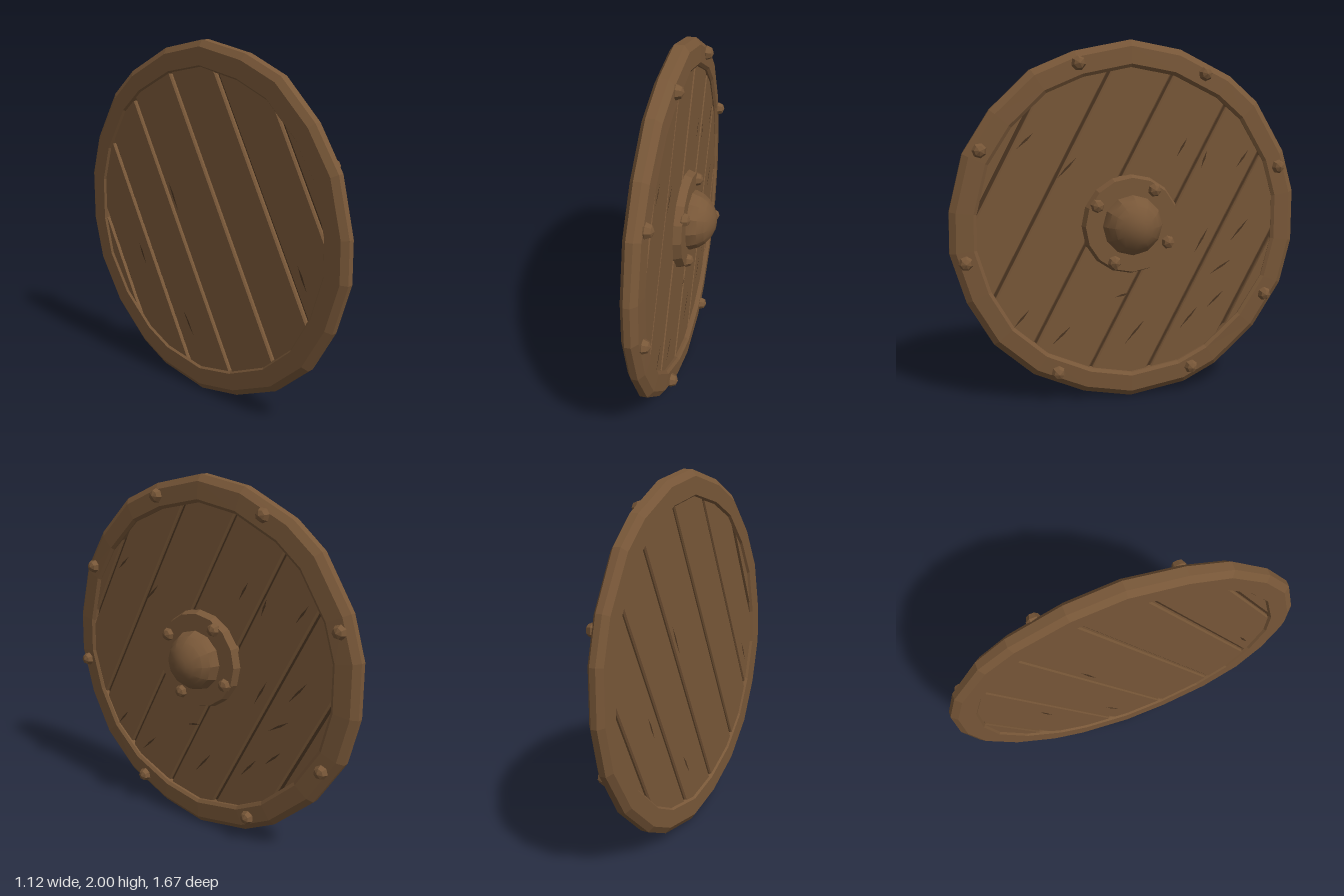
import * as THREE from 'three';
import { toCreasedNormals } from 'three/addons/utils/BufferGeometryUtils.js';

export function createModel() {
  const model = new THREE.Group();
  model.name = 'roundShield';

  const wood = new THREE.MeshStandardMaterial({ color: 0x785738 });
  wood.name = 'brownWood';
  const groove = new THREE.MeshStandardMaterial({ color: 0x4a3421 });
  groove.name = 'darkGroove';

  let seed = 7;
  const rand = () => (seed = (seed * 16807) % 2147483647) / 2147483647;

  // Shield is built facing local +z, then turned as a whole
  const shield = new THREE.Group();
  shield.name = 'shield';
  shield.position.y = 1;
  shield.rotation.y = Math.atan2(0.84, -0.54);
  model.add(shield);

  const flat = (g) => {
    const f = g.index ? g.toNonIndexed() : g;
    f.computeVertexNormals();
    return f;
  };
  const add = (name, geometry, material, x = 0, y = 0, z = 0) => {
    const mesh = new THREE.Mesh(geometry, material);
    mesh.name = name;
    mesh.position.set(x, y, z);
    shield.add(mesh);
    return mesh;
  };
  // The front of the rim swells slightly toward the vertical centre line
  const swell = (x) => 0.02 * (1 - x * x);

  // Rim: chamfered ring with hand-hewn irregular corners
  const SIDES = 22;
  const profile = [
    [0.855, -0.028], [0.868, -0.044], [0.965, -0.044], [1, -0.02], [1, 0.012],
    [0.965, 0.04], [0.872, 0.046], [0.855, 0.034], [0.855, -0.028],
  ].map(([r, h]) => new THREE.Vector2(r, h));
  const rim = new THREE.LatheGeometry(profile, SIDES);
  rim.rotateX(Math.PI / 2);
  const wobble = Array.from({ length: SIDES }, (_, i) =>
    i % 11 === 0 ? [1, 0] : [1 - 0.014 * rand(), (rand() - 0.5) * 0.1]);
  const rp = rim.attributes.position;
  for (let i = 0; i < rp.count; i++) {
    const [scale, turn] = wobble[Math.floor(i / profile.length) % SIDES];
    const x = rp.getX(i), y = rp.getY(i), z = rp.getZ(i);
    const nx = (x * Math.cos(turn) - y * Math.sin(turn)) * scale;
    const ny = (x * Math.sin(turn) + y * Math.cos(turn)) * scale;
    rp.setXYZ(i, nx, ny, z > 0 ? z + swell(nx) : z);
  }
  add('rim', flat(rim), wood);

  // Dark core seen at the bottom of the grooves between planks
  const core = new THREE.CylinderGeometry(0.88, 0.88, 0.03, 40);
  core.rotateX(Math.PI / 2);
  add('grooveCore', core, groove, 0, 0, 0.003);

  // Planks: strips clipped to the circle, leaning to one side
  const LEAN = 28 * Math.PI / 180;
  const R = 0.875, BEVEL = 0.008;
  const seams = [-R, -0.785, -0.494, -0.175, 0.176, 0.486, 0.78, R];
  for (let k = 0; k < seams.length - 1; k++) {
    const a = seams[k] + 0.015, b = seams[k + 1] - 0.015;
    const steps = 8, pts = [];
    for (let side = -1; side <= 1; side += 2) {
      for (let i = 0; i <= steps; i++) {
        const s = side < 0 ? a + (b - a) * i / steps : b - (b - a) * i / steps;
        pts.push(new THREE.Vector2(s, side * Math.sqrt(R * R - s * s)));
      }
    }
    const plank = new THREE.ExtrudeGeometry(new THREE.Shape(pts), {
      depth: 0.054, bevelEnabled: true, bevelSize: BEVEL, bevelThickness: BEVEL, bevelSegments: 1,
    });
    plank.translate(0, 0, -0.024);
    plank.rotateZ(-LEAN);
    add('plank', flat(plank), wood, 0, 0, (rand() - 0.5) * 0.004);
  }

  // Cracks: thin slivers on both faces [x, y, length, extra lean]
  const crack = (x, y, len, lean, back) => {
    const w = 0.009;
    const shape = new THREE.Shape([
      new THREE.Vector2(0, -len / 2), new THREE.Vector2(w, len * 0.1),
      new THREE.Vector2(0.004, len / 2), new THREE.Vector2(-w * 0.5, 0),
    ]);
    const mesh = add('crack', new THREE.ShapeGeometry(shape), groove, x, y, back ? -0.036 : 0.042);
    if (back) {
      mesh.rotation.set(0, Math.PI, LEAN + lean);
    } else {
      mesh.rotation.z = -LEAN - lean;
    }
  };
  const frontCracks = [
    [-0.58, 0.47, 0.12, 0.3], [-0.36, 0.32, 0.16, 0.25], [0.29, 0.42, 0.12, 0],
    [0.42, 0.35, 0.1, -0.2], [-0.62, -0.5, 0.14, 0.2], [-0.4, -0.61, 0.15, 0.3],
    [-0.05, -0.4, 0.09, 0.8], [0.02, -0.62, 0.18, 0.2], [0.41, -0.11, 0.16, 0],
    [0.53, -0.27, 0.15, 0.5], [0.64, -0.06, 0.17, 0.2], [0.5, -0.46, 0.14, 0.3],
    [0.34, -0.56, 0.16, 0.2], [0.65, 0.35, 0.12, 0.1],
  ];
  for (const [x, y, len, lean] of frontCracks) crack(x, y, len, lean, false);
  const backCracks = [
    [0.5, -0.28, 0.14, 0], [0.22, 0.12, 0.18, 0], [0.1, -0.62, 0.15, 0.1], [-0.72, -0.15, 0.14, 0],
  ];
  for (const [x, y, len, lean] of backCracks) crack(x, y, len, lean, true);

  // Central boss: flange plate and dome
  const flange = new THREE.CylinderGeometry(0.262, 0.28, 0.05, 16);
  flange.rotateX(Math.PI / 2);
  add('bossFlange', flat(flange), wood, 0, 0, 0.055);
  const dome = new THREE.SphereGeometry(0.172, 12, 6, 0, Math.PI * 2, 0, Math.PI / 2);
  dome.rotateX(Math.PI / 2);
  add('bossDome', toCreasedNormals(dome, 0.45), wood, 0, 0, 0.048);

  // Rivets: small faceted studs around the rim and the flange
  const stud = new THREE.SphereGeometry(0.04, 7, 4);
  stud.rotateX(Math.PI / 2);
  const studGeometry = flat(stud);
  const rivets = (name, angles, radius, height) => {
    for (const deg of angles) {
      const t = deg * Math.PI / 180, x = radius * Math.cos(t);
      const mesh = add(name, studGeometry, wood, x, radius * Math.sin(t), height(x));
      mesh.rotation.z = t * 3;
    }
  };
  rivets('rimRivet', [19, 63, 108.4, 152.6, 190.8, 242.8, 292.7, 331], 0.92, (x) => 0.044 + swell(x));
  rivets('flangeRivet', [57, 150, 243, 333], 0.228, () => 0.075);

  return model;
}
